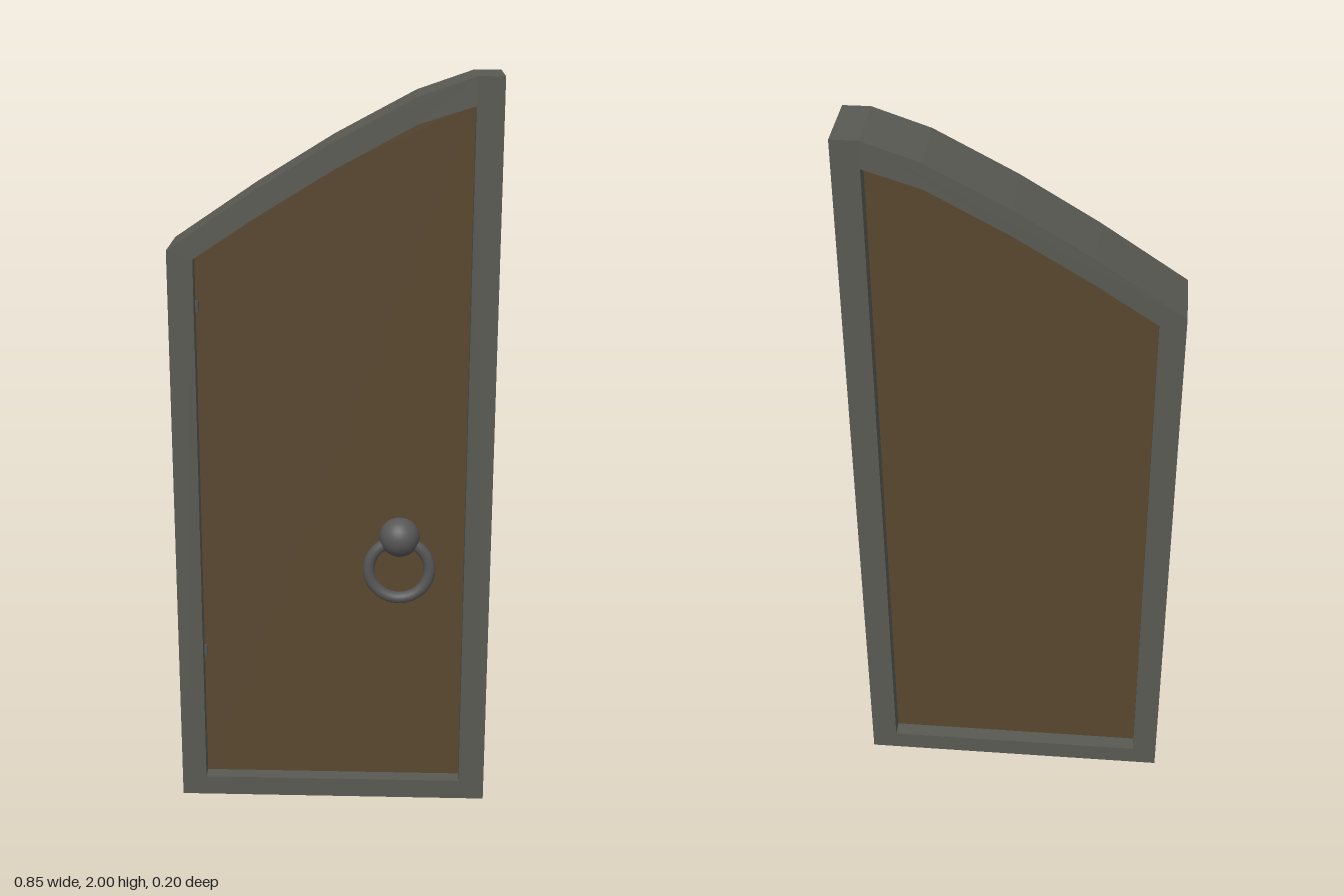
import * as THREE from 'three';

const mat = (name, color) => {
  const m = new THREE.MeshStandardMaterial({ color });
  m.name = name;
  return m;
};

export function createModel() {
  const stone = mat('stone grey', 0x5a5a53);
  const wood = mat('brown wood', 0x58472f);
  const iron = mat('dark iron', 0x565656);
  const door = new THREE.Group();
  door.name = 'halfArchDoor';

  const add = (name, geometry, material, x = 0, y = 0, z = 0) => {
    const mesh = new THREE.Mesh(geometry, material);
    mesh.name = name;
    mesh.position.set(x, y, z);
    door.add(mesh);
    return mesh;
  };
  const points = list => list.map(([x, y]) => new THREE.Vector2(x, y));
  const extrude = (shape, depth) =>
    new THREE.ExtrudeGeometry(shape, { depth, bevelEnabled: false });

  // Outline of the frame and of its opening, both with a rising half arch
  const outer = points([[-0.425, 0], [0.425, 0], [0.425, 2], [0.355, 2],
    [0.21, 1.95], [0, 1.838], [-0.2, 1.715], [-0.425, 1.563]]);
  const inner = points([[-0.358, 0.055], [0.355, 0.055], [0.355, 1.928],
    [0.21, 1.882], [0, 1.768], [-0.2, 1.645], [-0.358, 1.54]]);

  // Surrounding frame
  const frameShape = new THREE.Shape(outer);
  frameShape.holes.push(new THREE.Path(inner));
  add('frame', extrude(frameShape, 0.187), stone, 0, 0, -0.1);

  // Door leaf, recessed on both sides
  add('doorPanel', extrude(new THREE.Shape(inner), 0.103), wood, 0, 0, -0.058);

  // Small hinge pins at the edge of the leaf
  for (const y of [0.43, 1.41]) {
    add('hingePin', new THREE.CylinderGeometry(0.007, 0.007, 0.03, 10), iron, -0.356, y, 0.045);
  }

  // Knob and hanging ring
  add('knob', new THREE.SphereGeometry(0.055, 24, 16), iron, 0.18, 0.775, 0.045);
  add('pullRing', new THREE.TorusGeometry(0.083, 0.016, 12, 36), iron, 0.18, 0.682, 0.052);

  return door;
}
